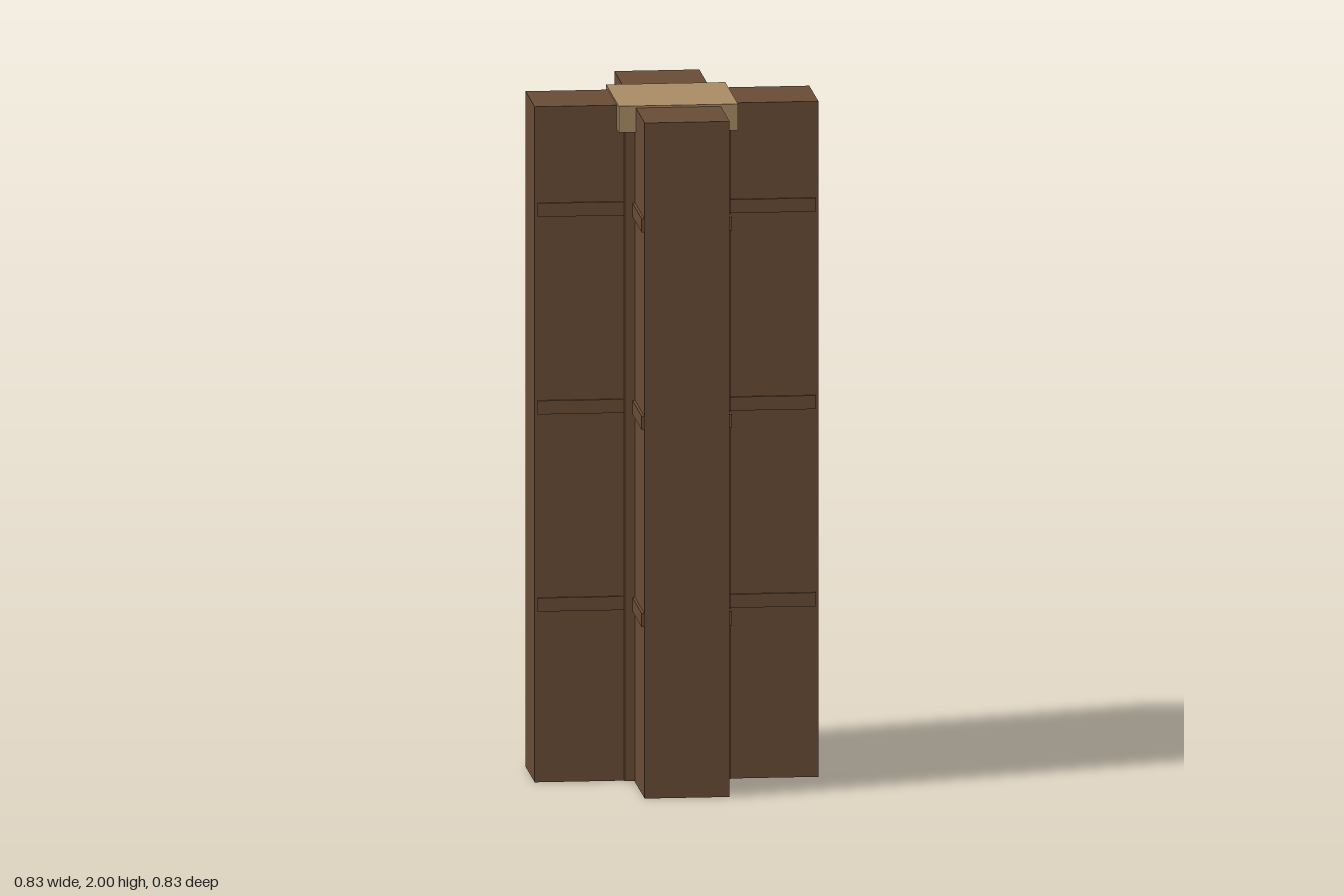
import * as THREE from 'three';

// Upright prism with a plus-shaped section
function crossPrism(reach, half, y0, y1) {
  const outline = [];
  for (let i = 0; i < 4; i++) {
    for (const [x, y] of [[reach, -half], [reach, half], [half, half]]) {
      outline.push(new THREE.Vector2(x, y).rotateAround(new THREE.Vector2(), i * Math.PI / 2));
    }
  }
  const geo = new THREE.ExtrudeGeometry(new THREE.Shape(outline), { depth: y1 - y0, bevelEnabled: false });
  geo.rotateX(-Math.PI / 2);
  geo.translate(0, y0, 0);
  return geo;
}

// Square block centred on the axis
function block(half, y0, y1) {
  const geo = new THREE.BoxGeometry(half * 2, y1 - y0, half * 2);
  geo.translate(0, (y0 + y1) / 2, 0);
  return geo;
}

export function createModel() {
  const darkWood = new THREE.MeshStandardMaterial({ color: 0x694c36 });
  darkWood.name = 'darkWood';
  const paleWood = new THREE.MeshStandardMaterial({ color: 0xa98c64 });
  paleWood.name = 'paleWood';

  const model = new THREE.Group();
  model.name = 'crossPillar';
  const add = (name, geo, material) => {
    const mesh = new THREE.Mesh(geo, material);
    mesh.name = name;
    model.add(mesh);
  };

  // Four arms, with a square core filling the inner corners
  add('arms', crossPrism(0.414, 0.124, 0, 1.994), darkWood);
  add('core', block(0.154, 0.004, 1.96), darkWood);

  // Slightly raised bands on the sides of the arms
  [0.525, 1.107, 1.69].forEach((y, i) => {
    add(`band${i + 1}`, crossPrism(0.406, 0.132, y - 0.02, y + 0.02), darkWood);
  });

  // Square cap sunk into the top
  add('cap', block(0.174, 1.922, 2), paleWood);

  return model;
}
